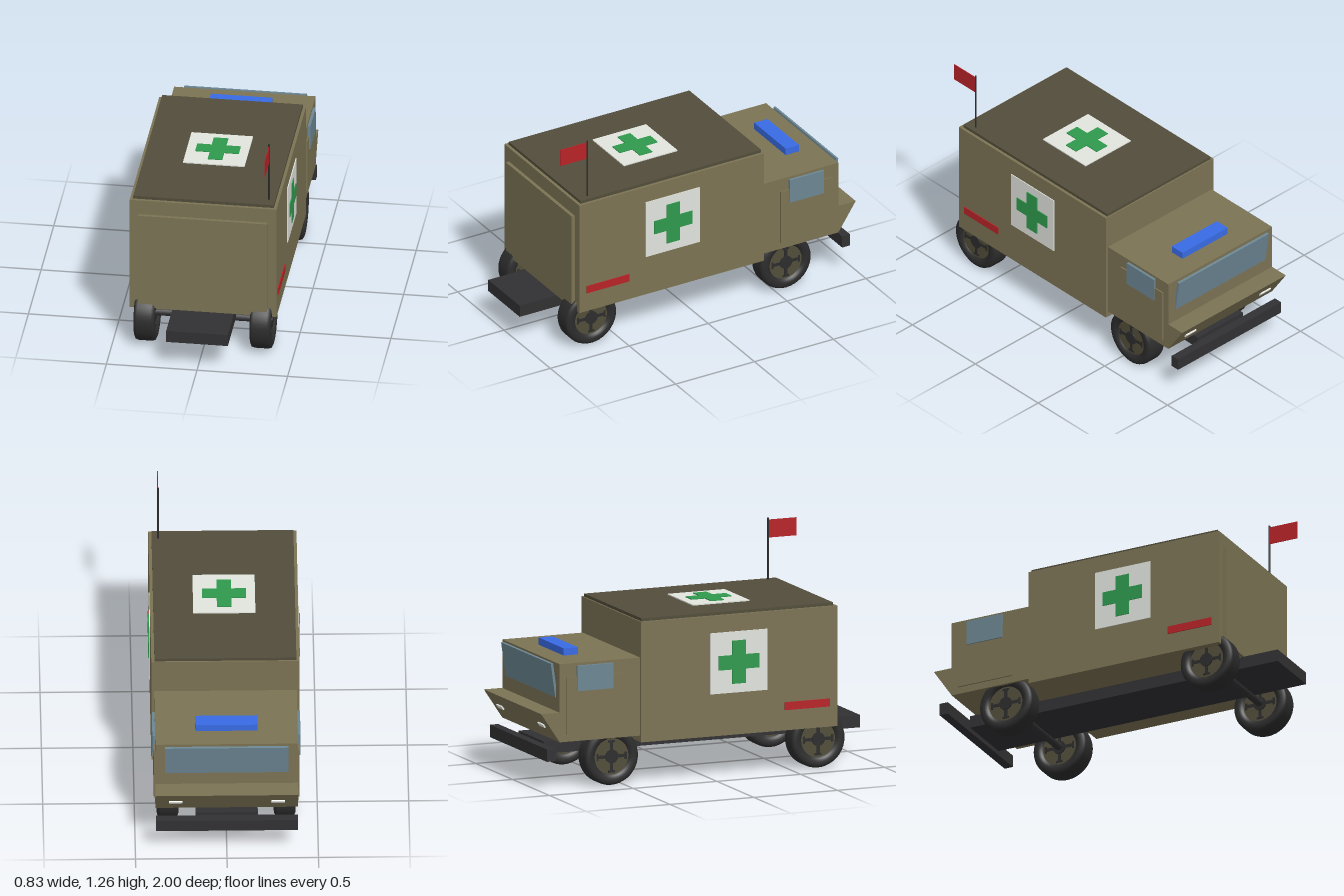
import * as THREE from 'three';

const mat = (name, color, side = THREE.FrontSide) => {
  const m = new THREE.MeshStandardMaterial({ color, side });
  m.name = name;
  return m;
};

export function createModel() {
  const olive = mat('olive', 0x7b7354);
  const darkOlive = mat('dark olive', 0x524d3a);
  const black = mat('chassis black', 0x313133);
  const rubber = mat('rubber', 0x2c2c2c);
  const white = mat('white', 0xe2e4de);
  const green = mat('green', 0x2f9a4d);
  const red = mat('red', 0xb82327);
  const blue = mat('blue', 0x386be4);
  const glass = mat('glass', 0x6c8793);

  const model = new THREE.Group();
  model.name = 'fieldAmbulance';

  const add = (name, geometry, material, parent = model) => {
    const mesh = new THREE.Mesh(geometry, material);
    mesh.name = name;
    parent.add(mesh);
    return mesh;
  };
  // Box given by its minimum and maximum corners
  const box = (name, material, x0, x1, y0, y1, z0, z1, parent = model) => {
    const mesh = add(name, new THREE.BoxGeometry(x1 - x0, y1 - y0, z1 - z0), material, parent);
    mesh.position.set((x0 + x1) / 2, (y0 + y1) / 2, (z0 + z1) / 2);
    return mesh;
  };

  // Rear body, roof and loading door
  box('rearBody', olive, -0.405, 0.405, 0.235, 0.905, -0.41, 0.76);
  box('roof', darkOlive, -0.388, 0.388, 0.905, 0.922, -0.402, 0.742);
  box('rearDoor', olive, -0.355, 0.355, 0.25, 0.82, 0.76, 0.78);

  // Cab with overhanging wedge nose, extruded across the width
  const side = new THREE.Shape([
    [0.405, 0.27], [0.89, 0.27], [1, 0.435], [0.89, 0.435], [0.89, 0.705], [0.405, 0.705],
  ].map(([z, y]) => new THREE.Vector2(z, y)));
  const cabGeo = new THREE.ExtrudeGeometry(side, { depth: 0.78, bevelEnabled: false });
  cabGeo.translate(0, 0, -0.39).rotateY(Math.PI / 2);
  add('cab', cabGeo, olive);

  // Windscreen leaning outward at the top
  const screen = add('windscreen', new THREE.BoxGeometry(0.675, 0.19, 0.014), glass);
  screen.position.set(0, 0.607, -0.9);
  screen.rotation.x = -0.14;

  box('beaconBar', blue, -0.17, 0.17, 0.705, 0.745, -0.77, -0.685);

  // Chassis and bumper
  box('chassis', black, -0.17, 0.17, 0.167, 0.236, -0.89, 1);
  box('bumper', black, -0.388, 0.388, 0.167, 0.236, -0.965, -0.915);

  // Cross outline for the medical signs
  const cross = new THREE.Shape();
  const a = 0.04, b = 0.12;
  [[-a, -b], [a, -b], [a, -a], [b, -a], [b, a], [a, a], [a, b], [-a, b], [-a, a], [-b, a], [-b, -a], [-a, -a]]
    .forEach(([x, y], i) => (i ? cross.lineTo(x, y) : cross.moveTo(x, y)));
  const crossGeo = new THREE.ExtrudeGeometry(cross, { depth: 0.006, bevelEnabled: false });

  const sign = (name) => {
    const g = new THREE.Group();
    g.name = name;
    box('signPanel', white, -0.17, 0.17, -0.17, 0.17, 0, 0.006, g);
    add('signCross', crossGeo, green, g).position.z = 0.005;
    model.add(g);
    return g;
  };
  const roofSign = sign('roofSign');
  roofSign.rotation.x = -Math.PI / 2;
  roofSign.position.set(0, 0.922, 0.17);

  // Parts repeated on both sides
  for (const s of [1, -1]) {
    const label = s > 0 ? 'left' : 'right';
    const sideSign = sign(label + 'SideSign');
    sideSign.rotation.y = s * Math.PI / 2;
    sideSign.position.set(s * 0.404, 0.64, 0.17);

    const plate = (name, material, x, t, y0, y1, z0, z1) =>
      box(label + name, material, s * x - t / 2, s * x + t / 2, y0, y1, z0, z1);
    plate('RedStripe', red, 0.406, 0.008, 0.348, 0.392, 0.445, 0.715);
    plate('CabDoor', olive, 0.393, 0.01, 0.31, 0.63, -0.85, -0.52);
    plate('SideWindow', glass, 0.397, 0.016, 0.55, 0.69, -0.79, -0.575);

    // Headlamp set into the sloping nose
    const lamp = add(label + 'Headlamp', new THREE.BoxGeometry(0.075, 0.022, 0.016), white);
    lamp.position.set(s * 0.28, 0.355, -0.947);
    lamp.rotation.x = -0.588;
  }

  // Flag pole and flag
  const pole = add('flagPole', new THREE.CylinderGeometry(0.005, 0.005, 0.35, 10), rubber);
  pole.position.set(0.353, 1.09, 0.68);
  box('flag', red, 0.351, 0.355, 1.155, 1.255, 0.685, 0.85);

  // Wheels
  const tyreGeo = new THREE.LatheGeometry([
    [0.098, -0.04], [0.108, -0.054], [0.125, -0.06], [0.143, -0.058], [0.155, -0.052], [0.16, -0.038],
    [0.16, 0.038], [0.155, 0.052], [0.143, 0.058], [0.125, 0.06], [0.108, 0.054], [0.098, 0.04],
  ].map(([r, y]) => new THREE.Vector2(r, y)), 40);
  const hubGeo = new THREE.CylinderGeometry(0.101, 0.101, 0.09, 32);
  const capGeo = new THREE.CylinderGeometry(0.038, 0.038, 0.106, 20);

  for (const z of [0.663, -0.57]) {
    const axle = add('axle', new THREE.CylinderGeometry(0.022, 0.022, 0.6, 16), black);
    axle.rotation.z = Math.PI / 2;
    axle.position.set(0, 0.166, z);
    for (const s of [1, -1]) {
      const wheel = new THREE.Group();
      wheel.name = 'wheel';
      wheel.position.set(s * 0.32, 0.163, z);
      wheel.rotation.z = -s * Math.PI / 2;
      model.add(wheel);
      add('tyre', tyreGeo, rubber, wheel);
      add('hub', hubGeo, darkOlive, wheel);
      add('hubCap', capGeo, rubber, wheel);
      for (let i = 0; i < 4; i++) {
        const arm = new THREE.Group();
        arm.name = 'spoke';
        arm.rotation.y = i * Math.PI / 2;
        wheel.add(arm);
        box('spokeBar', rubber, 0.03, 0.09, -0.048, 0.048, -0.009, 0.009, arm);
        box('spokeFoot', rubber, 0.078, 0.09, -0.048, 0.048, -0.02, 0.02, arm);
      }
    }
  }
  return model;
}
